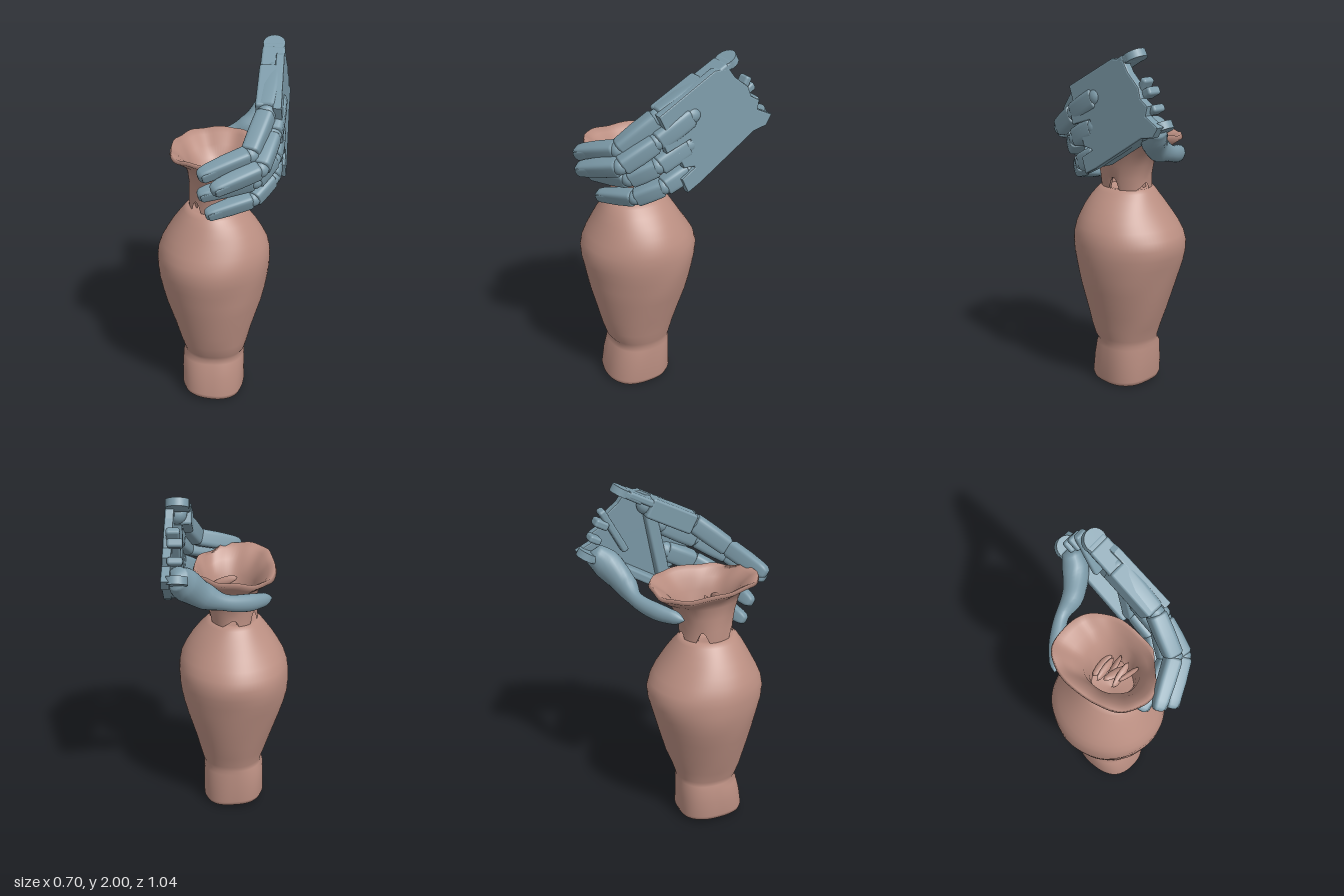
import * as THREE from 'three';
import { RoundedBoxGeometry } from 'three/addons/geometries/RoundedBoxGeometry.js';

const V = (x, y, z) => new THREE.Vector3(x, y, z);
const clay = new THREE.MeshStandardMaterial({ color: 0xbb8f82, side: THREE.DoubleSide });
const steel = new THREE.MeshStandardMaterial({ color: 0x7c9aa8 });

// Skin a list of closed rings
function loft(rings) {
  const n = rings[0].length, pos = [], idx = [];
  rings.forEach(r => r.forEach(p => pos.push(p.x, p.y, p.z)));
  for (let i = 0; i < rings.length - 1; i++) {
    for (let j = 0; j < n; j++) {
      const a = i * n + j, b = i * n + (j + 1) % n;
      idx.push(a, b, b + n, a, b + n, a + n);
    }
  }
  const g = new THREE.BufferGeometry();
  g.setAttribute('position', new THREE.Float32BufferAttribute(pos, 3));
  g.setIndex(idx);
  g.computeVertexNormals();
  return g;
}

function add(parent, name, geo, mat) {
  const m = new THREE.Mesh(geo, mat);
  m.name = name;
  parent.add(m);
  return m;
}

// Point on a rounded-square outline: e = 1 is an ellipse, smaller is squarer
const sq = (t, e) => Math.sign(t) * Math.pow(Math.abs(t), e);

// Horizontal ring from its extents [y, xmin, xmax, zmin, zmax, squareness]
function vaseRing([y, x0, x1, z0, z1, e = 1], wobble, lift = () => 0, n = 80) {
  return Array.from({ length: n }, (_, j) => {
    const a = j / n * Math.PI * 2;
    const k = 1 + wobble * (Math.sin(3 * a + y * 9) + 0.6 * Math.sin(7 * a - y * 17));
    return V((x0 + x1) / 2 + sq(Math.cos(a), e) * k * (x1 - x0) / 2, y + lift(a),
      (z0 + z1) / 2 - sq(Math.sin(a), e) * k * (z1 - z0) / 2);
  });
}

function buildVase(root) {
  const vase = new THREE.Group();
  vase.name = 'vase';
  root.add(vase);
  const body = [
    [0.015, -0.036, -0.034, 0.13, 0.132], [0.014, -0.18, 0.11, -0.03, 0.30, 0.8],
    [0.02, -0.205, 0.13, -0.05, 0.32, 0.8], [0.045, -0.215, 0.14, -0.06, 0.325, 0.8],
    [0.15, -0.215, 0.14, -0.06, 0.31, 0.82], [0.235, -0.212, 0.138, -0.06, 0.29, 0.85],
    [0.258, -0.197, 0.132, -0.055, 0.277, 0.9], [0.29, -0.2, 0.145, -0.062, 0.30, 0.9],
    [0.36, -0.225, 0.165, -0.085, 0.325, 0.95], [0.45, -0.255, 0.19, -0.12, 0.35],
    [0.6, -0.305, 0.235, -0.165, 0.385], [0.68, -0.328, 0.253, -0.188, 0.4],
    [0.75, -0.345, 0.265, -0.207, 0.413], [0.81, -0.35, 0.273, -0.222, 0.427],
    [0.87, -0.35, 0.276, -0.228, 0.432], [0.92, -0.343, 0.273, -0.212, 0.423],
    [0.97, -0.325, 0.262, -0.18, 0.402], [1.02, -0.297, 0.238, -0.145, 0.377],
    [1.07, -0.265, 0.208, -0.112, 0.352], [1.12, -0.228, 0.168, -0.08, 0.325],
    [1.16, -0.197, 0.127, -0.053, 0.298], [1.182, -0.175, 0.1, -0.035, 0.275],
    [1.178, -0.14, 0.07, 0, 0.24], [1.15, -0.036, -0.034, 0.12, 0.122]];
  const bodyRings = body.map(r => vaseRing(r, 0.006));
  // The foot stands a little askew
  bodyRings.slice(0, 4).flat().forEach(p => { p.y -= (p.x + 0.035) * 0.07; });
  add(vase, 'vaseBody', loft(bodyRings), clay);

  // Torn, flared neck: up the outside, over the lip and down the inside
  const neck = [
    [1.172, -0.165, 0.10, -0.035, 0.265], [1.25, -0.165, 0.115, -0.037, 0.267],
    [1.32, -0.165, 0.13, -0.06, 0.28], [1.39, -0.178, 0.145, -0.10, 0.30],
    [1.44, -0.2, 0.16, -0.145, 0.325, 0.95], [1.475, -0.24, 0.175, -0.185, 0.365, 0.88],
    [1.497, -0.27, 0.185, -0.21, 0.39, 0.84], [1.518, -0.262, 0.178, -0.2, 0.385, 0.84],
    [1.495, -0.225, 0.16, -0.165, 0.35, 0.84], [1.45, -0.19, 0.14, -0.11, 0.3, 0.85],
    [1.38, -0.155, 0.12, -0.055, 0.26], [1.28, -0.14, 0.1, -0.015, 0.235],
    [1.172, -0.135, 0.085, 0, 0.23]];
  // Wavy lip, lower at the back; ragged gaps along the bottom edge
  const lipWave = a => 0.012 * Math.sin(2 * a - 0.8) - 0.025 * Math.max(0, Math.sin(a)) + 0.004 * Math.sin(9 * a);
  const gaps = a => 0.055 * Math.max(0, Math.sin(5 * a + 0.6) + 0.4 * Math.sin(8 * a));
  const rings = neck.map(r => vaseRing(r, 0.017, a => r[0] > 1.43 ? lipWave(a) : r[0] < 1.2 ? gaps(a) : 0));
  // Flat where the fingers press against the lip
  rings.flat().forEach(p => {
    const over = Math.max(0, p.x + p.z - 0.39);
    p.x -= over / 2;
    p.z -= over / 2;
  });
  add(vase, 'vaseNeck', loft(rings), clay);

  // Broken flakes inside the neck
  for (let k = 0; k < 6; k++) {
    const f = add(vase, 'innerFlake', new THREE.SphereGeometry(1, 10, 6), clay);
    f.scale.set(0.08, 0.015, 0.025);
    f.position.set(0.02 * Math.sin(k * 4), 1.24 + 0.025 * k, 0.02 + 0.034 * k);
    f.rotation.set(k, 0.5 * Math.sin(k * 3), 0.25 * Math.cos(k * 2));
  }
}

// Limb piece from a to b; profile rows are [t, scale]; u is its back direction
function limb(a, b, u, ru, rv, profile, e = 0.52) {
  const d = b.clone().sub(a), v = d.clone().normalize().cross(u);
  return loft(profile.map(([t, s]) => Array.from({ length: 28 }, (_, j) => {
    const q = j / 28 * Math.PI * 2;
    return a.clone().addScaledVector(d, t).addScaledVector(u, ru * s * sq(Math.cos(q), e))
      .addScaledVector(v, rv * s * sq(Math.sin(q), e));
  })));
}
const PHALANX = [[0.03, 0], [0.03, 0.85], [0.07, 0.97], [0.5, 1], [0.92, 0.95], [0.97, 0.82], [0.97, 0]];
const TIP = [[0.03, 0], [0.03, 0.85], [0.08, 0.97], [0.5, 0.94], [0.85, 0.82], [0.97, 0.7], [1.03, 0.5], [1.045, 0.25], [1.045, 0]];
const NAIL = [[0.68, 0], [0.68, 0.9], [0.72, 1], [0.95, 0.9], [1, 0.6], [1, 0]];

function buildFinger(hand, name, points, r) {
  const finger = new THREE.Group();
  finger.name = name;
  hand.add(finger);
  const p = points.map(c => V(...c));
  const hinge = p[3].clone().sub(p[2]).cross(p[1].clone().sub(p[0])).normalize();
  for (let i = 0; i < 3; i++) {
    const u = hinge.clone().cross(p[i + 1].clone().sub(p[i])).normalize();
    const s = r * (1 - 0.07 * i);
    add(finger, 'phalanx', limb(p[i], p[i + 1], u, s * 0.92, s, i < 2 ? PHALANX : TIP), steel);
    add(finger, 'joint', new THREE.SphereGeometry(s * 0.9, 16, 12), steel).position.copy(p[i]);
    if (i === 2) {
      const lift = u.clone().multiplyScalar(s * 0.62);
      add(finger, 'nail', limb(p[2].clone().add(lift), p[3].clone().add(lift), u, s * 0.18, s * 0.6, NAIL), steel);
    }
  }
}

function buildHand(root) {
  const hand = new THREE.Group();
  hand.name = 'hand';
  root.add(hand);

  // Back-of-hand plate with finger tongues, drawn as (z, y), leaning inward towards the top
  const outline = [[-0.15, 1.935], [-0.23, 1.935], [-0.27, 1.88], [-0.35, 1.815], [-0.37, 1.76], [-0.42, 1.73],
    [-0.41, 1.68], [-0.5, 1.635], [-0.47, 1.59], [-0.39, 1.575], [-0.31, 1.525], [-0.05, 1.365], [0.02, 1.33],
    [0.05, 1.4], [-0.03, 1.45], [-0.02, 1.465], [0.04, 1.47], [0.075, 1.55], [-0.01, 1.6], [0, 1.62], [0.14, 1.575],
    [0.17, 1.655], [0, 1.75], [0.01, 1.765], [0.14, 1.69], [0.175, 1.765]];
  const plate = new THREE.ExtrudeGeometry(new THREE.Shape(outline.map(q => new THREE.Vector2(...q))),
    { depth: 0.03, bevelThickness: 0.008, bevelSize: 0.008, bevelSegments: 2 });
  plate.rotateY(-Math.PI / 2);
  const pos = plate.attributes.position;
  for (let i = 0; i < pos.count; i++) pos.setX(i, pos.getX(i) + 0.337 - (pos.getY(i) - 1.4) * 0.06);
  plate.computeVertexNormals();
  add(hand, 'palmPlate', plate, steel);

  // Frame walls and wrist tabs: centre, size, tilt
  [['wristTab', 0.25, 1.93, -0.21, 0.12, 0.045, 0.12, 0.5],
    ['wristTab', 0.26, 1.79, -0.38, 0.08, 0.045, 0.08, 0.5],
    ['wristTab', 0.26, 1.71, -0.42, 0.08, 0.04, 0.07, 0.5],
    ['wristTab', 0.255, 1.595, -0.41, 0.12, 0.045, 0.12, 0.5],
    ['palmTopWall', 0.25, 1.89, -0.12, 0.125, 0.04, 0.26, 0.48],
    ['palmBottomWall', 0.27, 1.48, -0.2, 0.11, 0.05, 0.4, 0.54],
    ['knuckleBar', 0.275, 1.62, -0.06, 0.08, 0.46, 0.07, -0.2],
    ['wristBar', 0.27, 1.74, -0.31, 0.07, 0.28, 0.04, -0.5],
    ['indexCover', 0.25, 1.795, 0.01, 0.13, 0.115, 0.29, 0.48],
  ].forEach(([name, x, y, z, w, h, d, tilt]) => {
    const b = add(hand, name, new RoundedBoxGeometry(w, h, d, 2, 0.014), steel);
    b.position.set(x, y, z);
    b.rotation.x = tilt;
  });
  // Rounded ends of the two outer tabs
  [[0.25, 1.957, -0.26], [0.255, 1.622, -0.46]].forEach(c => {
    const end = add(hand, 'wristTabEnd', new THREE.CylinderGeometry(0.06, 0.06, 0.042, 28), steel);
    end.position.set(...c);
    end.rotation.x = 0.5;
  });

  buildFinger(hand, 'indexFinger', [[0.26, 1.86, -0.12], [0.245, 1.73, 0.15], [0.18, 1.575, 0.34], [-0.06, 1.495, 0.45]], 0.059);
  buildFinger(hand, 'middleFinger', [[0.29, 1.73, -0.02], [0.28, 1.62, 0.18], [0.235, 1.51, 0.36], [0.01, 1.435, 0.48]], 0.058);
  buildFinger(hand, 'ringFinger', [[0.29, 1.57, 0], [0.28, 1.485, 0.17], [0.2, 1.41, 0.29], [-0.075, 1.345, 0.36]], 0.056);
  buildFinger(hand, 'littleFinger', [[0.285, 1.42, -0.01], [0.275, 1.355, 0.13], [0.19, 1.285, 0.25], [-0.04, 1.225, 0.34]], 0.053);

  // Thumb: one curved, tapering sweep from the heel around the back of the neck
  const curve = new THREE.CatmullRomCurve3([V(0.26, 1.64, -0.44), V(0.215, 1.565, -0.36), V(0.12, 1.475, -0.295),
    V(0.01, 1.43, -0.275), V(-0.11, 1.4, -0.205), V(-0.24, 1.385, -0.1)]);
  const radii = [0.06, 0.085, 0.07, 0.044, 0.048, 0.034];
  const rings = [];
  for (let i = 0; i <= 30; i++) {
    const t = i / 30, f = Math.min(t * 5, 4.999), k = Math.floor(f);
    let r = THREE.MathUtils.lerp(radii[k], radii[k + 1], THREE.MathUtils.smoothstep(f - k, 0, 1));
    r *= i === 0 || i === 30 ? 0 : i === 29 ? 0.7 : 1;
    const c = curve.getPoint(t), d = curve.getTangent(t);
    const u = V(0, 1, 0).cross(d).normalize(), v = d.clone().cross(u);
    rings.push(Array.from({ length: 20 }, (_, j) => {
      const q = j / 10 * Math.PI;
      return c.clone().addScaledVector(u, 0.85 * r * Math.cos(q)).addScaledVector(v, r * Math.sin(q));
    }));
  }
  add(hand, 'thumb', loft(rings), steel);
}

export function createModel() {
  const root = new THREE.Group();
  root.name = 'handHoldingVase';
  buildVase(root);
  buildHand(root);
  return root;
}
